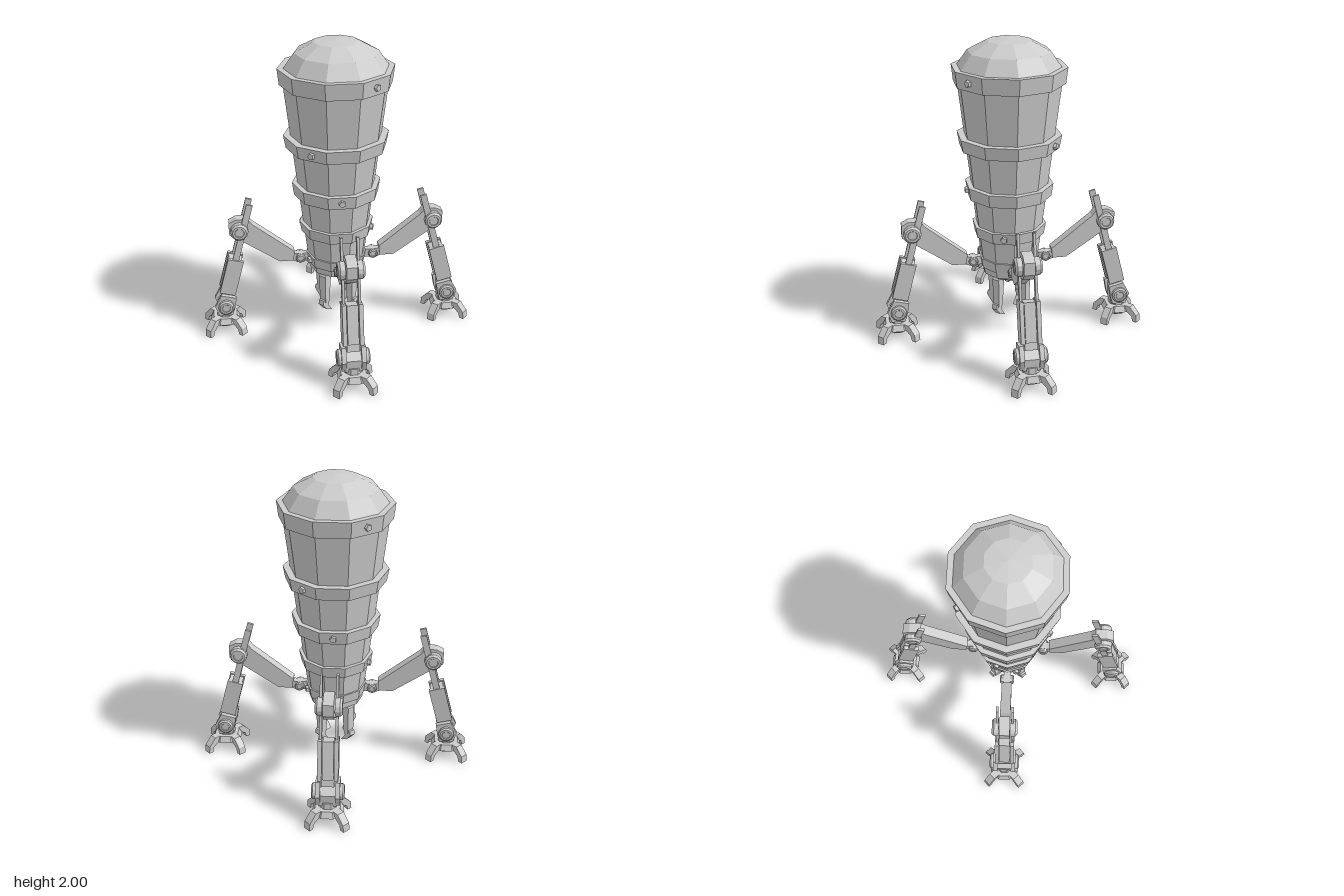
import * as THREE from 'three';

const grey = new THREE.MeshStandardMaterial({ color: 0xcccccc, flatShading: true });

function add(parent, name, geometry, x = 0, y = 0, z = 0) {
  const mesh = new THREE.Mesh(geometry, grey);
  mesh.name = name;
  mesh.position.set(x, y, z);
  parent.add(mesh);
  return mesh;
}

// Ten-sided turned shape, profile [radius, y] from bottom to top, corners on the x axis
function turned(profile) {
  const points = profile.map(([r, y]) => new THREE.Vector2(r, y));
  return new THREE.LatheGeometry(points, 10, Math.PI / 2);
}

// Outline in the xy plane, thickened evenly to both sides along z
function plate(outline, width) {
  const shape = new THREE.Shape(outline.map(([x, y]) => new THREE.Vector2(x, y)));
  const geometry = new THREE.ExtrudeGeometry(shape, { depth: width, bevelEnabled: false });
  return geometry.translate(0, 0, -width / 2);
}

// Chamfered disc with its axis along z, facing +z or -z by side
function disc(radius, width, side, sides = 12) {
  const h = width / 2;
  const profile = [[0, -h], [radius, -h], [radius, h * 0.4], [radius * 0.8, h], [radius * 0.55, h],
    [radius * 0.5, h * 0.8], [0, h * 0.8]];
  const geometry = new THREE.LatheGeometry(profile.map(([r, y]) => new THREE.Vector2(r, y)), sides);
  return geometry.rotateX(side * Math.PI / 2);
}

function createBody() {
  const body = new THREE.Group();
  body.name = 'body';
  add(body, 'tank', turned([[0, 0.39], [0.115, 0.39], [0.18, 0.43], [0.335, 1.72], [0.335, 1.8]]));
  add(body, 'dome', turned([[0.335, 1.82], [0.264, 1.92], [0.142, 1.985], [0, 2]]));

  // Bands: bottom, top, lower radius, upper radius, bolt angle from +x
  const bands = [
    [1.72, 1.825, 0.358, 0.37, 54],
    [1.3, 1.385, 0.325, 0.34, 126],
    [0.97, 1.055, 0.278, 0.29, 90],
    [0.7, 0.775, 0.232, 0.245, 18],
    [0.475, 0.545, 0.194, 0.205, 162],
  ];
  for (const [low, high, r0, r1, angle] of bands) {
    add(body, 'band', turned([[r0 - 0.05, low], [r0, low], [r1, high], [r1 - 0.05, high]]));
    for (const turn of [0, 180]) {
      const a = THREE.MathUtils.degToRad(angle + turn);
      const r = (r0 + r1) / 2 * Math.cos(Math.PI / 10) + 0.005;
      const geometry = new THREE.CylinderGeometry(0.021, 0.025, 0.03, 5).rotateZ(-Math.PI / 2);
      add(body, 'bolt', geometry, r * Math.cos(a), (low + high) / 2, r * Math.sin(a)).rotation.y = -a;
    }
  }

  // Grabber claws hanging from the underside, hooked inwards
  for (let i = 0; i < 4; i++) {
    const claw = new THREE.Group();
    claw.name = 'grabber';
    claw.rotation.y = Math.PI / 4 + i * Math.PI / 2;
    add(claw, 'grabberArm', plate([[0.09, 0.42], [0.11, 0.2], [0.15, 0.2], [0.155, 0.4], [0.13, 0.43]], 0.05));
    add(claw, 'grabberHook', plate([[0.105, 0.22], [0.115, 0.17], [0.075, 0.115], [0.13, 0.14],
      [0.172, 0.19], [0.165, 0.22]], 0.04));
    body.add(claw);
  }
  return body;
}

function createFoot() {
  const foot = new THREE.Group();
  foot.name = 'foot';
  foot.position.x = 0.765;
  const pad = (r0, r1, h) => new THREE.CylinderGeometry(r0, r1, h, 8).rotateY(Math.PI / 8);
  add(foot, 'footPad', pad(0.085, 0.105, 0.04), 0, 0.085);
  add(foot, 'footSole', pad(0.09, 0.065, 0.03), 0, 0.052);
  add(foot, 'footNeck', pad(0.055, 0.06, 0.05), 0, 0.12);
  for (let i = 0; i < 4; i++) {
    const toe = plate([[0.05, 0.105], [0.05, 0.06], [0.1, 0.06], [0.135, 0.035], [0.145, 0],
      [0.175, 0], [0.17, 0.05], [0.12, 0.105]], 0.05);
    add(foot, 'toe', toe).rotation.y = Math.PI / 4 + i * Math.PI / 2;
  }
  return foot;
}

// One leg reaching out along +x
function createLeg() {
  const leg = new THREE.Group();
  leg.name = 'leg';

  // Hip
  add(leg, 'hipLink', plate([[0.16, 0.485], [0.27, 0.48], [0.34, 0.505], [0.34, 0.555],
    [0.27, 0.54], [0.16, 0.54]], 0.045));
  add(leg, 'upperArm', plate([[0.285, 0.565], [0.292, 0.497], [0.385, 0.497], [0.63, 0.665], [0.665, 0.67],
    [0.712, 0.72], [0.712, 0.8], [0.665, 0.825], [0.59, 0.825], [0.56, 0.785]], 0.068));

  // Shin: direction runs from the rod tips down to the ankle
  const lean = Math.atan2(0.1, 0.38);
  const shin = new THREE.Group();
  shin.name = 'shin';
  shin.position.set(0.71, 0.413, 0);
  shin.rotation.z = lean;
  add(shin, 'shinCore', new THREE.BoxGeometry(0.09, 0.25, 0.07));
  add(shin, 'shinEnd', new THREE.BoxGeometry(0.06, 0.06, 0.08), 0, -0.145);
  leg.add(shin);

  for (const side of [-1, 1]) {
    add(leg, 'hipDisc', disc(0.032, 0.025, side, 8), 0.245, 0.51, side * 0.035);
    add(leg, 'kneeDisc', disc(0.058, 0.045, side), 0.645, 0.75, side * 0.061);
    add(shin, 'shinPlate', new THREE.BoxGeometry(0.105, 0.26, 0.026), 0, 0, side * 0.052);
    add(shin, 'pistonRod', new THREE.BoxGeometry(0.042, 0.46, 0.016), 0, 0.31, side * 0.05);
    add(leg, 'ankleCheek', plate([[0.785, 0.285], [0.685, 0.26], [0.7, 0.175], [0.715, 0.13],
      [0.805, 0.13], [0.83, 0.2]], 0.03), 0, 0, side * 0.062);
    add(leg, 'ankleDisc', disc(0.052, 0.03, side, 16), 0.757, 0.2, side * 0.088);
  }

  // Ankle
  add(leg, 'ankleBlock', plate([[0.75, 0.255], [0.71, 0.245], [0.715, 0.12], [0.805, 0.12], [0.81, 0.2]], 0.11));
  leg.add(createFoot());
  return leg;
}

export function createModel() {
  const model = new THREE.Group();
  model.name = 'walker';
  model.add(createBody());
  for (let i = 0; i < 4; i++) {
    const leg = createLeg();
    leg.rotation.y = i * Math.PI / 2;
    model.add(leg);
  }
  return model;
}
